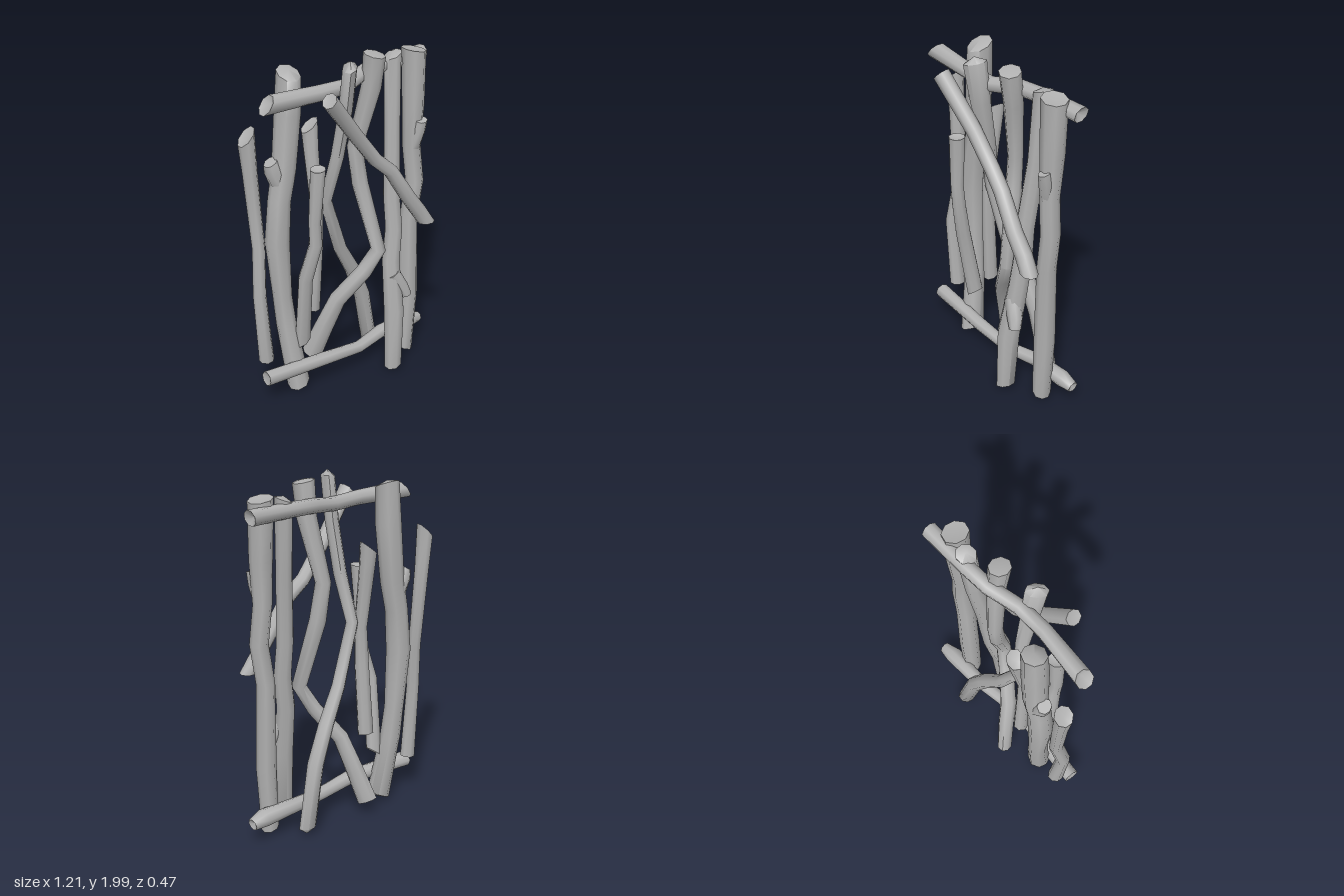
import * as THREE from 'three';
import { toCreasedNormals } from 'three/addons/utils/BufferGeometryUtils.js';

const SIDES = 8;
const V = (a) => new THREE.Vector3(a[0], a[1], a[2]);

// A crooked branch: path = [x, y, z, radius, stretchX, stretchZ] per bend, where
// the optional stretch flattens the section; each cut is a vector that slants
// the sawn end, and notch sinks or raises the middle of the end.
function branchGeometry(path, startCut, endCut, notch, turn) {
  const pts = path.map(V);
  const last = pts.length - 1;
  const pos = [];
  const index = [];
  const dir = (i) => pts[i + 1].clone().sub(pts[i]).normalize();
  let u = null;
  for (let i = 0; i <= last; i++) {
    const t = i === 0 ? dir(0) : i === last ? dir(last - 1) : dir(i - 1).add(dir(i)).normalize();
    if (!u) u = Math.abs(t.z) < 0.8 ? new THREE.Vector3(0, 0, 1) : new THREE.Vector3(1, 0, 0);
    u.addScaledVector(t, -u.dot(t)).normalize();
    const v = t.clone().cross(u);
    const cut = i === 0 ? V(startCut) : i === last ? V(endCut) : null;
    const [, , , radius, sx = 0, sz = 0] = path[i];
    const stretch = new THREE.Vector3(sx, 0, sz);
    for (let j = 0; j < SIDES; j++) {
      const a = turn + (j / SIDES) * Math.PI * 2;
      const r = radius * (1.02 + 0.05 * Math.sin(2 * a + turn * 3));
      const off = u.clone().multiplyScalar(Math.cos(a) * r).addScaledVector(v, Math.sin(a) * r);
      off.addScaledVector(stretch, off.dot(stretch));
      const p = pts[i].clone().add(off);
      if (cut) p.addScaledVector(t, cut.dot(off));
      pos.push(p.x, p.y, p.z);
    }
  }
  for (let i = 0; i < last; i++) {
    for (let j = 0; j < SIDES; j++) {
      const k = (j + 1) % SIDES;
      const a = i * SIDES + j, b = i * SIDES + k;
      index.push(a, b, b + SIDES, a, b + SIDES, a + SIDES);
    }
  }
  // Sawn ends
  const s = pts[0].clone().addScaledVector(dir(0), notch);
  const e = pts[last].clone().addScaledVector(dir(last - 1), -notch);
  const c = pos.length / 3;
  pos.push(s.x, s.y, s.z, e.x, e.y, e.z);
  for (let j = 0; j < SIDES; j++) {
    const k = (j + 1) % SIDES;
    index.push(c, k, j, c + 1, last * SIDES + j, last * SIDES + k);
  }
  const g = new THREE.BufferGeometry();
  g.setAttribute('position', new THREE.Float32BufferAttribute(pos, 3));
  g.setIndex(index);
  return toCreasedNormals(g, 1.0);
}

export function createModel() {
  const group = new THREE.Group();
  group.name = 'branchTrellis';
  const wood = new THREE.MeshStandardMaterial({ color: 0xb0b0b0 });
  wood.name = 'greyWood';

  const add = (name, path, startCut = [0, 0, 0], endCut = [0, 0, 0], notch = 0, turn = 0.3) => {
    const mesh = new THREE.Mesh(branchGeometry(path, startCut, endCut, notch, turn), wood);
    mesh.name = name;
    group.add(mesh);
  };

  // Horizontal rails
  add('topRail', [
    [-0.515, 1.835, 0.047, 0.05], [-0.2, 1.83, 0.035, 0.043], [-0.02, 1.822, 0.01, 0.041],
    [0.15, 1.85, -0.065, 0.042], [0.3, 1.857, -0.095, 0.043], [0.575, 1.857, -0.135, 0.046],
  ], [0, 0.7, 0], [0, 0.2, 0], 0.03);
  add('bottomRail', [
    [-0.555, 0.172, 0.025, 0.044], [-0.15, 0.163, 0.01, 0.04], [0.1, 0.13, -0.03, 0.036],
    [0.3, 0.145, -0.09, 0.041], [0.52, 0.14, -0.12, 0.05], [0.6, 0.125, -0.135, 0.033],
  ], [0, 0, 0], [0, 0, 0], 0.02, 0.8);

  // Upright branches, top to bottom
  add('outerRightBranch', [
    [-0.56, 1.62, -0.1, 0.05], [-0.545, 1.4, -0.1, 0.043], [-0.515, 0.95, -0.09, 0.038],
    [-0.54, 0.68, -0.05, 0.039], [-0.505, 0.24, -0.06, 0.045],
  ], [-0.9, 0, 0], [0, 0, 0], 0.02);
  add('thickRightBranch', [
    [-0.298, 1.92, -0.1, 0.066], [-0.31, 1.7, -0.1, 0.072], [-0.335, 1.37, -0.11, 0.067],
    [-0.37, 1.2, -0.105, 0.064], [-0.39, 0.95, -0.105, 0.069], [-0.37, 0.6, -0.1, 0.055],
    [-0.355, 0.42, -0.09, 0.058], [-0.31, 0.03, -0.04, 0.066],
  ], [0, 0, 0.4], [-0.3, 0, 0.2], -0.02, 0.6);
  add('thickRightKnot', [
    [-0.36, 1.29, -0.11, 0.052], [-0.4, 1.38, -0.11, 0.05], [-0.415, 1.435, -0.11, 0.04],
  ], [0, 0, 0], [0.3, 0, 0]);
  add('frontRightBranch', [
    [-0.24, 1.43, 0.092, 0.045], [-0.26, 1.12, 0.085, 0.037], [-0.25, 0.98, 0.08, 0.039],
    [-0.29, 0.75, 0.03, 0.043], [-0.275, 0.31, -0.04, 0.047],
  ], [-0.1, 0, 0], [-0.7, 0, 0], 0.02, 0.1);
  add('shortBranch', [
    [-0.165, 1.59, -0.12, 0.047], [-0.165, 1.45, -0.105, 0.042], [-0.16, 1.12, -0.06, 0.035],
    [-0.165, 0.9, -0.065, 0.04], [-0.18, 0.47, -0.09, 0.044],
  ], [-0.8, 0, 0], [0, 0, 0.2], 0.02, 0.9);
  add('crossingBranchToLeft', [
    [-0.042, 1.96, 0.095, 0.04, -0.4, 0.6], [-0.045, 1.72, 0.06, 0.04, -0.3, 0.45],
    [-0.06, 1.43, 0.0, 0.039], [-0.108, 1.15, -0.05, 0.036], [0.01, 0.8, -0.09, 0.039],
    [0.12, 0.61, -0.135, 0.045], [0.205, 0.4, -0.16, 0.048], [0.278, 0.04, -0.19, 0.047],
  ], [-0.2, 0, 0], [0.3, 0, 0.2], -0.035, 0.4);
  add('crossingBranchToRight', [
    [0.163, 1.97, 0.015, 0.06], [0.16, 1.78, -0.01, 0.054], [0.095, 1.42, -0.07, 0.043],
    [0.115, 1.2, -0.045, 0.046], [0.185, 0.8, 0.04, 0.043], [0.11, 0.66, 0.005, 0.045],
    [-0.02, 0.48, -0.07, 0.047], [-0.08, 0.28, -0.13, 0.046, 0.3, 0.3],
    [-0.135, 0.09, -0.18, 0.043, 0.45, 0.45],
  ], [0.15, 0, 0], [0, 0, 0.2], -0.01, 0.7);
  add('innerLeftBranch', [
    [0.337, 1.91, -0.07, 0.052], [0.325, 1.5, -0.045, 0.048], [0.298, 1.1, 0.0, 0.051],
    [0.305, 0.9, 0.018, 0.053], [0.28, 0.7, 0.03, 0.055], [0.27, 0.4, 0.085, 0.063],
    [0.262, 0.03, 0.098, 0.053],
  ], [-0.4, 0, 0], [-0.3, 0, 0.1], -0.02, 0.2);
  add('innerLeftKnot', [
    [0.27, 0.63, 0.06, 0.046], [0.325, 0.53, 0.08, 0.042], [0.35, 0.475, 0.095, 0.032],
  ], [0, 0, 0], [0.2, 0, 0]);
  add('outerLeftBranch', [
    [0.463, 1.925, -0.05, 0.07], [0.465, 1.6, -0.045, 0.064], [0.457, 1.35, -0.04, 0.053],
    [0.48, 1.13, -0.035, 0.053], [0.447, 0.9, -0.04, 0.053], [0.45, 0.4, -0.035, 0.058],
    [0.432, 0.02, -0.037, 0.051],
  ], [0.2, 0, 0], [0.3, 0, 0], 0.01, 0.5);
  add('outerLeftKnot', [
    [0.455, 1.36, -0.025, 0.04], [0.475, 1.46, 0.0, 0.038], [0.48, 1.525, 0.015, 0.034],
  ], [0, 0, 0], [0.2, 0, 0]);

  // Diagonal brace across the front
  add('diagonalBrace', [
    [-0.225, 1.845, 0.19, 0.045], [-0.02, 1.58, 0.12, 0.042], [0.12, 1.4, 0.095, 0.041],
    [0.22, 1.31, 0.1, 0.042], [0.34, 1.12, 0.1, 0.044], [0.42, 1.01, 0.092, 0.046],
    [0.475, 0.925, 0.095, 0.045],
  ], [-0.2, 0, 0], [0.8, 0, 0], 0.01, 0.4);

  return group;
}
